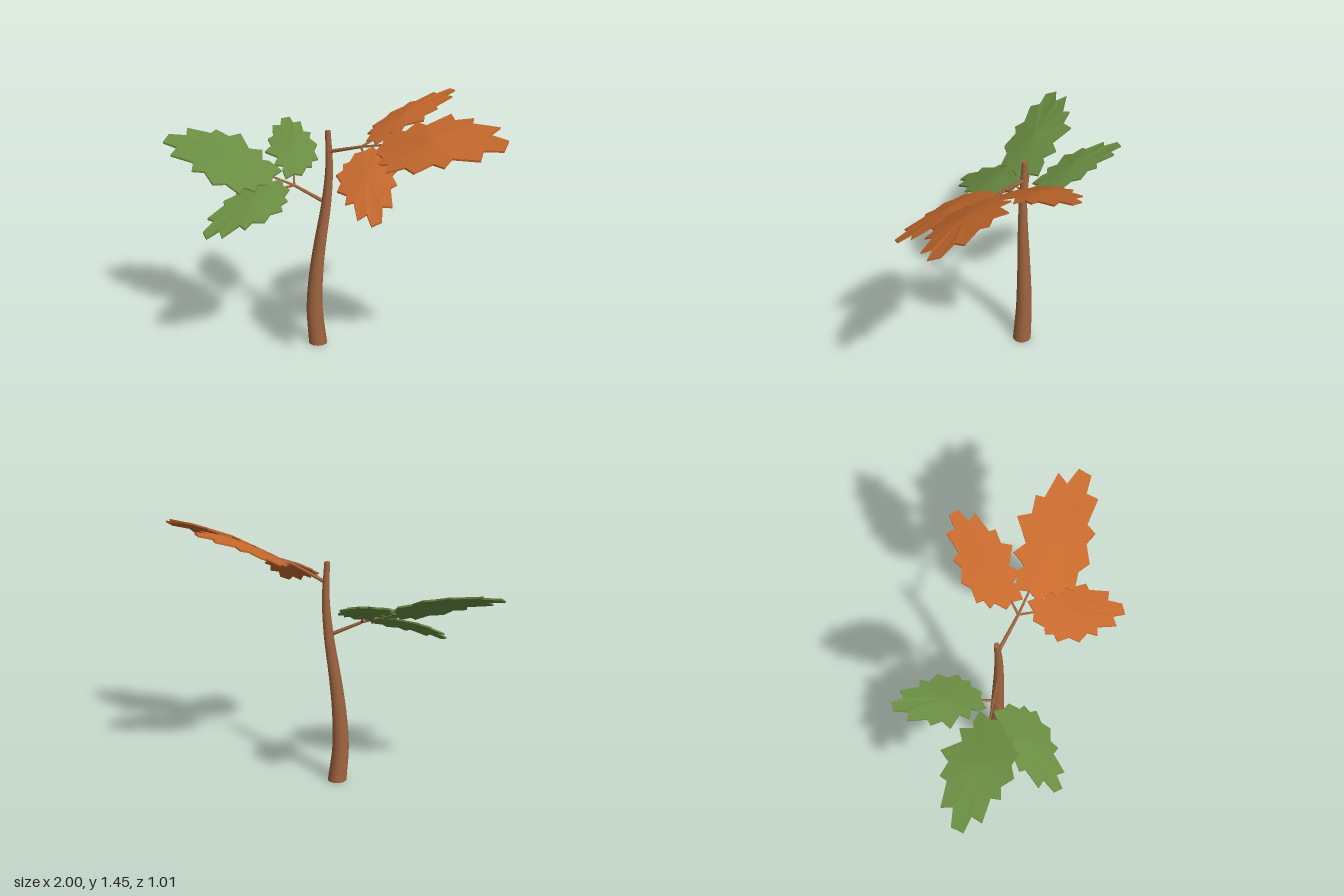
import * as THREE from 'three';

const V3 = (a) => new THREE.Vector3(...a);

// Jagged leaf outline: u runs from stem (0) to tip (1), v across
const OUTLINE = [
  [0.04, 0], [0, -0.095], [0.12, -0.12], [0.17, -0.1], [0.21, -0.2], [0.31, -0.15],
  [0.44, -0.28], [0.51, -0.2], [0.64, -0.23], [0.66, -0.17], [0.875, -0.16], [0.84, -0.075],
  [0.99, -0.05], [1, 0.045], [0.86, 0.07], [0.88, 0.155], [0.67, 0.165], [0.65, 0.24],
  [0.55, 0.215], [0.445, 0.29], [0.35, 0.245], [0.22, 0.275], [0.2, 0.21], [0.11, 0.2],
  [0.12, 0.14], [0.015, 0.08],
];
const MIRRORED = OUTLINE.map(([u, v]) => [u, -v]).reverse();
const THICKNESS = 0.01;

// Thin faceted leaf: an arched fan around its middle, with a rim and an underside
function leafGeometry({ base, tip, rise, widen, mirror }) {
  const origin = V3(base);
  const along = V3(tip).sub(origin);
  const length = along.length();
  const across = new THREE.Vector3(-along.z, rise, along.x).multiplyScalar(widen);
  const at = (u, v, bump = 0) => {
    const p = origin.clone().addScaledVector(along, u).addScaledVector(across, v);
    p.y += length * (0.18 * u * (1 - u) - 0.3 * v * v + bump);
    return p;
  };
  const top = (mirror ? MIRRORED : OUTLINE).map(([u, v]) => at(u, v));
  const down = (p) => p.clone().setY(p.y - THICKNESS);
  const middle = at(0.44, mirror ? -0.03 : 0.03, 0.015);
  const points = [];
  top.forEach((a, i) => {
    const b = top[(i + 1) % top.length];
    const a2 = down(a), b2 = down(b);
    points.push(middle, b, a); // upper face
    points.push(down(middle), a2, b2); // underside
    points.push(a, b, b2, a, b2, a2); // rim
  });
  const geometry = new THREE.BufferGeometry().setFromPoints(points);
  geometry.computeVertexNormals();
  return geometry;
}

// Tapered round stick between two points
function stick(from, to, r0, r1, material, name) {
  const a = V3(from), b = V3(to);
  const dir = b.clone().sub(a);
  const mesh = new THREE.Mesh(new THREE.CylinderGeometry(r1, r0, dir.length(), 8), material);
  mesh.position.copy(a).add(b).multiplyScalar(0.5);
  mesh.quaternion.setFromUnitVectors(new THREE.Vector3(0, 1, 0), dir.normalize());
  mesh.name = name;
  return mesh;
}

// Curved trunk: a cylinder whose rings follow a bending centre line
function trunk(material) {
  const height = 1.26;
  const centre = new THREE.CatmullRomCurve3([
    [-0.102, 0, -0.013], [-0.125, 0.21, -0.017], [-0.116, 0.42, -0.02], [-0.09, 0.63, -0.025],
    [-0.058, 0.84, -0.031], [-0.042, 1.05, -0.037], [-0.052, 1.26, -0.042],
  ].map(V3));
  const geometry = new THREE.CylinderGeometry(0.015, 0.052, height, 16, 24);
  const p = geometry.attributes.position;
  for (let i = 0; i < p.count; i++) {
    const t = p.getY(i) / height + 0.5;
    const c = centre.getPoint(t);
    p.setXYZ(i, p.getX(i) + c.x, t * height, p.getZ(i) + c.z);
  }
  const mesh = new THREE.Mesh(geometry, material);
  mesh.name = 'trunk';
  return mesh;
}

export function createModel() {
  const bark = new THREE.MeshStandardMaterial({ color: 0xa06540 });
  const green = new THREE.MeshStandardMaterial({ color: 0x6a8d42 });
  const orange = new THREE.MeshStandardMaterial({ color: 0xc6692d });
  bark.name = 'bark brown';
  green.name = 'leaf green';
  orange.name = 'leaf orange';

  const model = new THREE.Group();
  model.name = 'tree';
  model.add(trunk(bark));

  // Each branch forks into three leaves: large, back and front
  const branches = [
    {
      name: 'orangeBranch', material: orange,
      start: [-0.04, 1.145, -0.038], fork: [0.165, 1.21, -0.005],
      leaves: [
        { name: 'largeLeaf', base: [0.265, 1.24, 0.003], tip: [1.003, 1.35, 0.058], rise: -0.36, widen: 1 },
        { name: 'backLeaf', base: [0.2, 1.23, -0.04], tip: [0.485, 1.45, -0.49], rise: 0.066, widen: 1.08, mirror: true },
        { name: 'frontLeaf', base: [0.2, 1.215, 0.045], tip: [0.485, 0.99, 0.485], rise: -0.18, widen: 1.08 },
      ],
    },
    {
      name: 'greenBranch', material: green,
      start: [-0.06, 0.85, -0.03], fork: [-0.235, 0.935, 0.008],
      leaves: [
        { name: 'largeLeaf', base: [-0.325, 0.97, 0.035], tip: [-1, 1.13, 0.112], rise: 0.31, widen: 1, mirror: true },
        { name: 'backLeaf', base: [-0.255, 0.97, -0.035], tip: [-0.525, 1.17, -0.435], rise: 0.05, widen: 1.08 },
        { name: 'frontLeaf', base: [-0.255, 0.955, 0.06], tip: [-0.525, 0.755, 0.49], rise: 0.15, widen: 1.08, mirror: true },
      ],
    },
  ];
  for (const { name, material, start, fork, leaves } of branches) {
    const group = new THREE.Group();
    group.name = name;
    group.add(stick(start, fork, 0.011, 0.008, bark, 'branchStem'));
    for (const leaf of leaves) {
      // Twig runs a little way under its leaf
      const end = V3(leaf.base).lerp(V3(leaf.tip), 0.1).toArray();
      group.add(stick(fork, end, 0.007, 0.005, bark, leaf.name + 'Twig'));
      const mesh = new THREE.Mesh(leafGeometry(leaf), material);
      mesh.name = leaf.name;
      group.add(mesh);
    }
    model.add(group);
  }
  return model;
}
